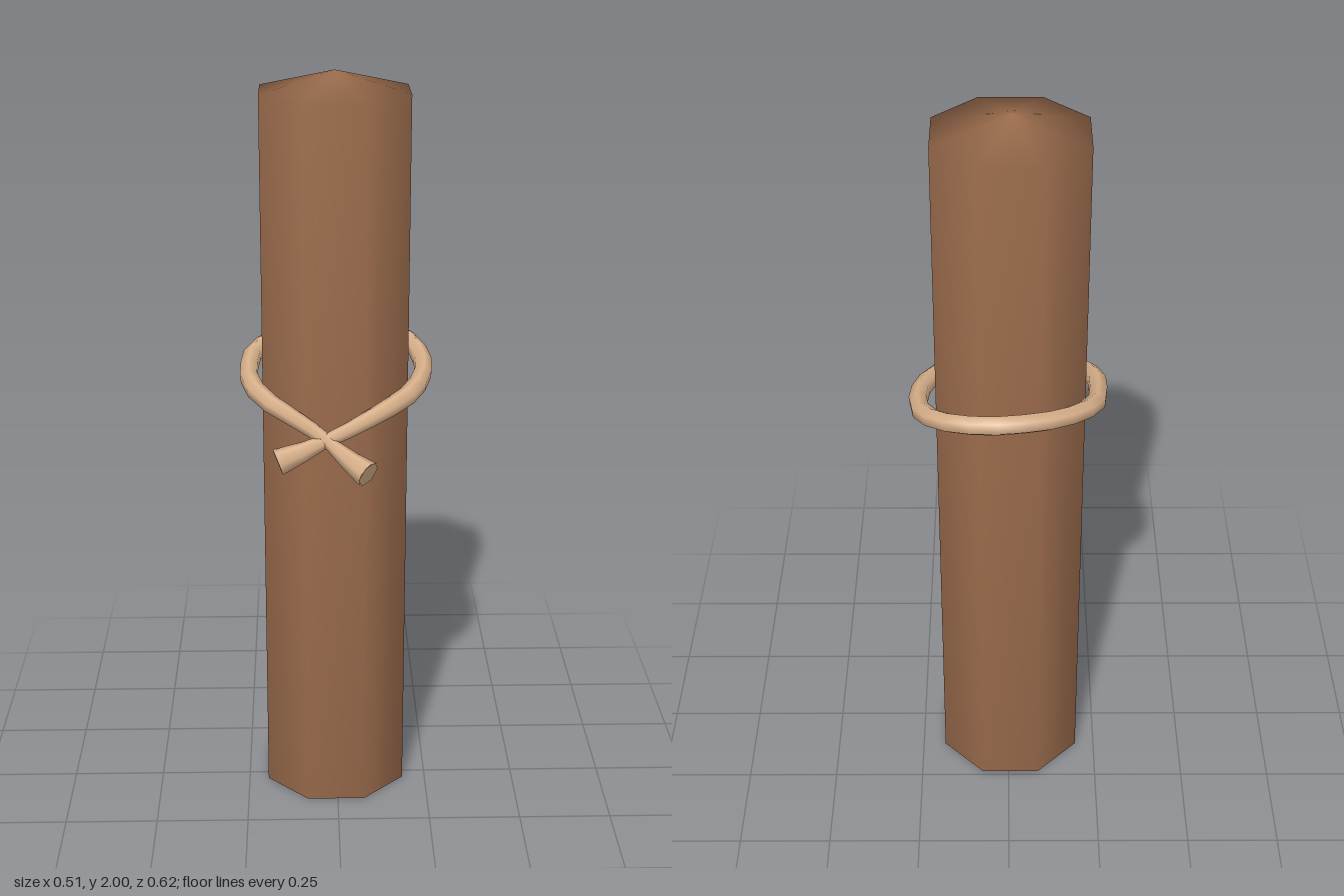
import * as THREE from 'three';

const wood = new THREE.MeshStandardMaterial({ color: 0x9a6b4c });
wood.name = 'brown wood';
const ropeTan = new THREE.MeshStandardMaterial({ color: 0xd8b08a });
ropeTan.name = 'tan rope';

// Tube along a curve whose radius follows radiusAt(t)
function taperedTube(curve, segments, sides, radiusAt) {
  const geometry = new THREE.TubeGeometry(curve, segments, 1, sides, false);
  const position = geometry.attributes.position;
  const v = new THREE.Vector3();
  for (let i = 0; i <= segments; i++) {
    const centre = curve.getPointAt(i / segments);
    for (let j = 0; j <= sides; j++) {
      const k = i * (sides + 1) + j;
      v.fromBufferAttribute(position, k).sub(centre).multiplyScalar(radiusAt(i / segments)).add(centre);
      position.setXYZ(k, v.x, v.y, v.z);
    }
  }
  return geometry;
}

// Flat disc closing one end of a tube, facing along the outward direction
function endCap(curve, t, sides, radius) {
  const cap = new THREE.Mesh(new THREE.CircleGeometry(radius, sides), ropeTan);
  const outward = curve.getTangentAt(t).multiplyScalar(t === 0 ? -1 : 1);
  cap.quaternion.setFromUnitVectors(new THREE.Vector3(0, 0, 1), outward);
  cap.position.copy(curve.getPointAt(t));
  cap.name = 'ropeEnd';
  return cap;
}

export function createModel() {
  const model = new THREE.Group();
  model.name = 'ropedPost';

  // Eight-sided post with a shallow pointed top
  const profile = [[0, 0], [0.207, 0], [0.207, 1.95], [0, 2]].map(([r, y]) => new THREE.Vector2(r, y));
  const post = new THREE.Mesh(new THREE.LatheGeometry(profile, 8, Math.PI / 8), wood);
  post.position.set(-0.005, 0, -0.046);
  post.name = 'post';
  model.add(post);

  // Rope: one free end, round the post, under itself at the front, other free end
  const path = [
    [-0.156, 1.045, 0.215], [-0.1, 1.065, 0.205], [-0.044, 1.088, 0.194], [0.042, 1.125, 0.177],
    [0.117, 1.16, 0.152], [0.179, 1.18, 0.098], [0.217, 1.195, 0.023], [0.233, 1.208, -0.061],
    [0.226, 1.223, -0.143], [0.192, 1.243, -0.212], [0.128, 1.262, -0.264], [0.047, 1.272, -0.286],
    [-0.042, 1.27, -0.274], [-0.116, 1.26, -0.242], [-0.181, 1.245, -0.188], [-0.222, 1.23, -0.127],
    [-0.233, 1.213, -0.034], [-0.226, 1.2, 0.045], [-0.187, 1.178, 0.112], [-0.115, 1.142, 0.152],
    [-0.04, 1.1, 0.184], [0.015, 1.065, 0.23], [0.074, 1.035, 0.28],
  ];
  const curve = new THREE.CatmullRomCurve3(path.map((p) => new THREE.Vector3(...p)));
  const endRadius = 0.036;
  const radiusAt = (t) => {
    const d = Math.min(t, 1 - t);
    return d < 0.07
      ? THREE.MathUtils.lerp(endRadius, 0.018, d / 0.07)
      : THREE.MathUtils.lerp(0.018, 0.026, Math.min(1, (d - 0.07) / 0.12));
  };
  const rope = new THREE.Group();
  rope.name = 'rope';
  const strand = new THREE.Mesh(taperedTube(curve, 28, 6, radiusAt), ropeTan);
  strand.name = 'ropeLoop';
  rope.add(strand, endCap(curve, 0, 6, endRadius), endCap(curve, 1, 6, endRadius));
  model.add(rope);

  return model;
}
